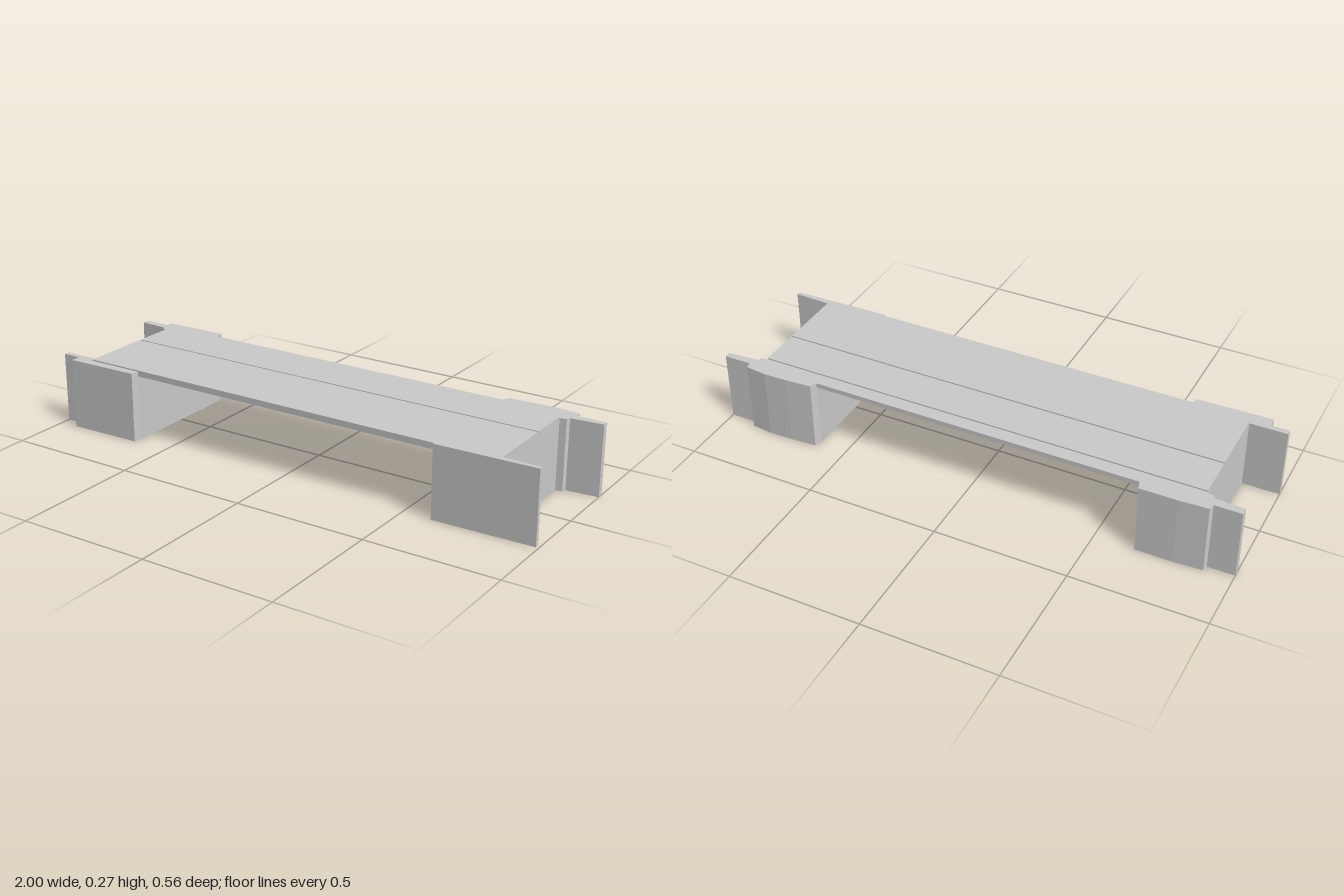
import * as THREE from 'three';

const material = new THREE.MeshStandardMaterial({ color: 0xcccccc, flatShading: true });
const WING_TOP = 0.268, DECK_TOP = 0.273, SOFFIT = 0.25;

function extrude(points, depth) {
  const shape = new THREE.Shape(points.map(([x, y]) => new THREE.Vector2(x, y)));
  return new THREE.ExtrudeGeometry(shape, { depth, bevelEnabled: false });
}

// Raises a plan outline of [x, z] corners from the ground to a height
function plan(name, outline, height) {
  const geometry = extrude(outline.map(([x, z]) => [x, -z]), height);
  geometry.rotateX(-Math.PI / 2);
  const mesh = new THREE.Mesh(geometry, material);
  mesh.name = name;
  return mesh;
}

// Runs a cross-section of [z, y] corners along x
function run(name, section, x0, x1) {
  const geometry = extrude(section.map(([z, y]) => [-z, y]), x1 - x0);
  geometry.rotateY(Math.PI / 2).translate(x0, 0, 0);
  const mesh = new THREE.Mesh(geometry, material);
  mesh.name = name;
  return mesh;
}

export function createModel() {
  const model = new THREE.Group();
  model.name = 'bridge';

  // Deck slab with a lower back kerb and a narrow joint along its length
  model.add(run('deck', [
    [0.242, SOFFIT], [0.242, DECK_TOP],
    [-0.031, DECK_TOP], [-0.031, WING_TOP], [-0.037, WING_TOP], [-0.037, DECK_TOP],
    [-0.195, DECK_TOP], [-0.195, WING_TOP], [-0.246, WING_TOP], [-0.246, SOFFIT],
  ], -0.86, 0.85));

  // Abutment on the -x end, with its pier faces and wing walls
  model.add(plan('rightAbutment', [
    [-0.64, 0.24], [-0.645, 0.272], [-0.93, 0.279], [-0.93, 0.242], [-1, 0.242],
    [-1, 0.22], [-0.86, 0.22], [-0.86, -0.2], [-0.885, -0.204], [-0.89, -0.217],
    [-1, -0.222], [-1, -0.25], [-0.9, -0.25], [-0.895, -0.273], [-0.79, -0.279],
    [-0.65, -0.279], [-0.64, -0.246],
  ], WING_TOP));

  // Abutment on the +x end
  model.add(plan('leftAbutment', [
    [0.61, 0.24], [0.85, 0.24], [0.85, -0.196], [0.875, -0.2], [0.88, -0.215],
    [1, -0.225], [1, -0.248], [0.895, -0.248], [0.89, -0.272], [0.81, -0.281],
    [0.72, -0.279], [0.62, -0.272], [0.61, -0.246],
  ], WING_TOP));

  // Slightly skewed front wing wall, level with the deck
  model.add(plan('leftFrontWingWall', [
    [0.61, 0.23], [0.61, 0.249], [0.99, 0.24], [0.99, 0.225], [0.85, 0.22],
  ], DECK_TOP));

  return model;
}
